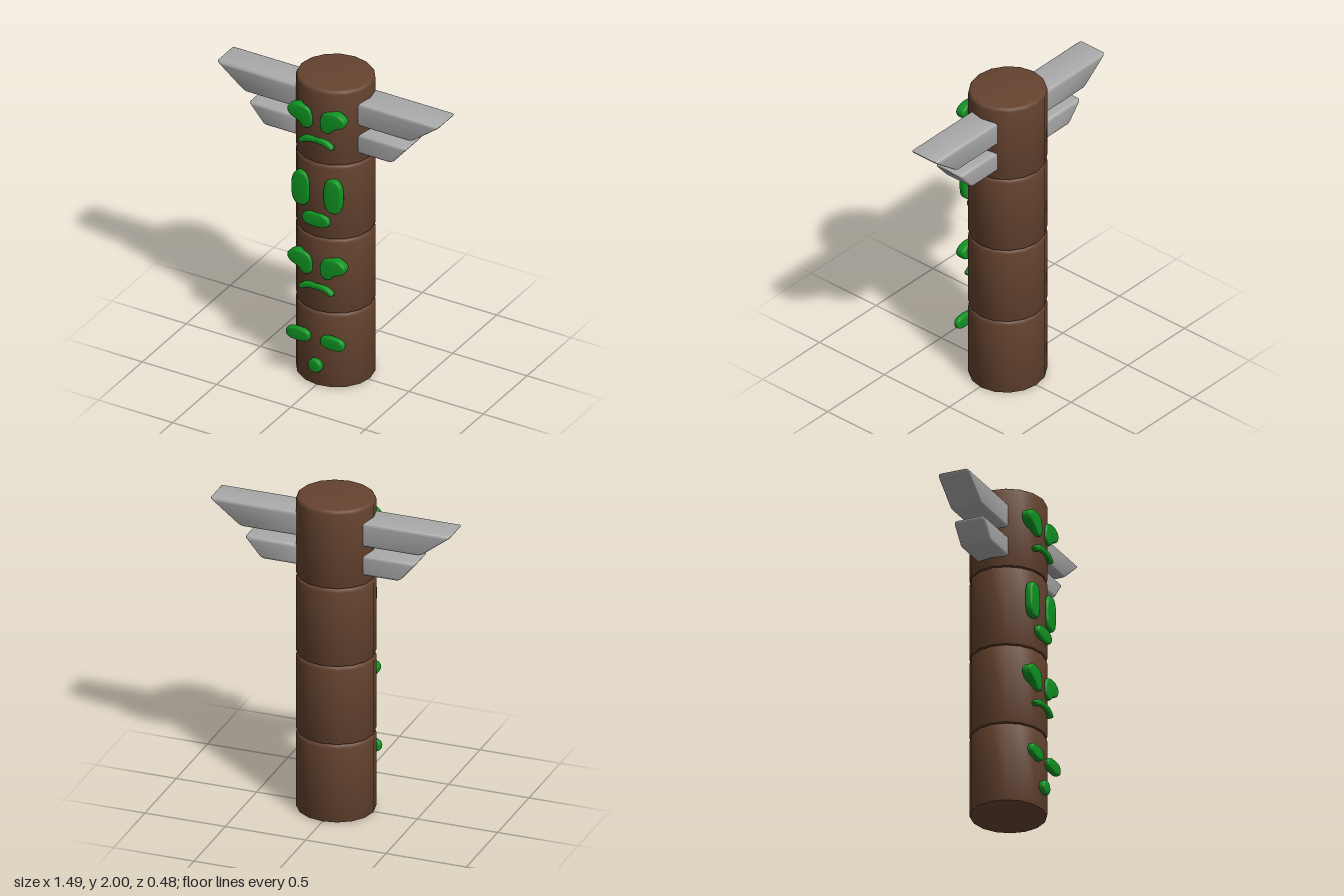
import * as THREE from 'three';
import { toCreasedNormals } from 'three/addons/utils/BufferGeometryUtils.js';
import { RoundedBoxGeometry } from 'three/addons/geometries/RoundedBoxGeometry.js';

const material = (name, color) => {
  const m = new THREE.MeshStandardMaterial({ color });
  m.name = name;
  return m;
};

export function createModel() {
  const wood = material('brown wood', 0x65432f);
  const paint = material('green paint', 0x109322);
  const metal = material('grey wing', 0xaaaaaa);
  const model = new THREE.Group();
  model.name = 'totemPole';

  const add = (name, geometry, mat, parent = model) => {
    const mesh = new THREE.Mesh(geometry, mat);
    mesh.name = name;
    parent.add(mesh);
    return mesh;
  };

  // Four stacked drums with rounded rims
  const R = 0.235, H = 0.5, bevel = 0.024, foot = 0.01;
  const profile = [new THREE.Vector2(0, 0), new THREE.Vector2(R - foot, 0), new THREE.Vector2(R - 0.003, 0.003), new THREE.Vector2(R, foot)];
  for (let i = 0; i <= 4; i++) {
    const a = (i / 4) * Math.PI / 2;
    profile.push(new THREE.Vector2(R - bevel + bevel * Math.cos(a), H - bevel + bevel * Math.sin(a)));
  }
  profile.push(new THREE.Vector2(0, H));
  const drum = toCreasedNormals(new THREE.LatheGeometry(profile, 16), 0.6);
  for (let i = 0; i < 4; i++) {
    const mesh = add('drum' + (i + 1), drum, wood);
    mesh.position.set(0, i * H, -0.013);
    mesh.scale.z = 0.225 / R;
  }

  // Wings: rounded boxes whose outer ends slant outward to the top
  const wing = (name, side, y0, y1, topX, bottomX) => {
    const inner = 0.14, h = y1 - y0, mid = (topX + bottomX) / 2 + 0.008;
    const g = new RoundedBoxGeometry(mid - inner, h, 0.2, 4, 0.02);
    const p = g.attributes.position;
    for (let i = 0; i < p.count; i++) {
      if (p.getX(i) > 0) p.setX(i, p.getX(i) + p.getY(i) * (topX - bottomX) / h);
    }
    g.translate((mid + inner) / 2, (y0 + y1) / 2, -0.015);
    if (side < 0) g.rotateY(Math.PI).translate(0, 0, -0.03);
    add(name, toCreasedNormals(g, 0.7), metal);
  };
  for (const [label, s] of [['left', 1], ['right', -1]]) {
    wing(label + 'UpperWing', s, 1.745, 1.9, 0.75, 0.55);
    wing(label + 'LowerWing', s, 1.56, 1.69, 0.53, 0.42);
  }

  // Face features: raised plates with a rounded rim, outlined by a closed curve
  const feature = (name, points, z0, z1, side = 1) => {
    const curve = new THREE.CatmullRomCurve3(points.map(([x, y]) => new THREE.Vector3(x * side, y, 0)), true);
    const outline = curve.getSpacedPoints(36).slice(0, -1).map(v => new THREE.Vector2(v.x, v.y));
    const b = 0.012;
    const g = new THREE.ExtrudeGeometry(new THREE.Shape(outline), {
      depth: z1 - z0 - 2 * b, bevelThickness: b, bevelSize: b, bevelOffset: -b, bevelSegments: 3
    });
    g.translate(0, 0, z0 + b);
    add(name, toCreasedNormals(g, 0.7), paint);
  };
  const oval = (cx, cy, rx, ry, power = 1) => Array.from({ length: 20 }, (_, i) => {
    const a = (i / 20) * Math.PI * 2, c = Math.cos(a), s = Math.sin(a);
    return [cx + rx * Math.sign(c) * Math.abs(c) ** power, cy + ry * Math.sign(s) * Math.abs(s) ** power];
  });
  const eyePair = (name, points, z0, z1) => {
    feature(name + 'LeftEye', points, z0, z1, 1);
    feature(name + 'RightEye', points, z0, z1, -1);
  };

  // Scowling faces on the first and third drums from the top
  const scowlEye = [[0.192, 1.83], [0.14, 1.865], [0.05, 1.85], [0.027, 1.8], [0.037, 1.737], [0.08, 1.722], [0.122, 1.757], [0.18, 1.787]];
  const scowlMouth = [[-0.117, 1.63], [-0.07, 1.668], [0, 1.675], [0.07, 1.668], [0.117, 1.63], [0.1, 1.615], [0.06, 1.632], [0, 1.638], [-0.06, 1.632], [-0.1, 1.615]];
  for (const [name, dy] of [['top', 0], ['third', -0.988]]) {
    const shift = pts => pts.map(([x, y]) => [x, y + dy]);
    eyePair(name, shift(scowlEye), 0.162, 0.222);
    feature(name + 'Mouth', shift(scowlMouth), 0.187, 0.226);
  }

  // Tall-eyed face on the second drum
  eyePair('second', oval(0.108, 1.3, 0.06, 0.112, 0.75), 0.172, 0.218);
  feature('secondMouth', oval(0, 1.12, 0.091, 0.046, 0.85), 0.19, 0.228);

  // Narrow-eyed face on the bottom drum
  eyePair('bottom', oval(0.115, 0.32, 0.079, 0.042, 0.75), 0.198, 0.236);
  feature('bottomMouth', oval(0, 0.14, 0.044, 0.044), 0.198, 0.24);

  return model;
}
